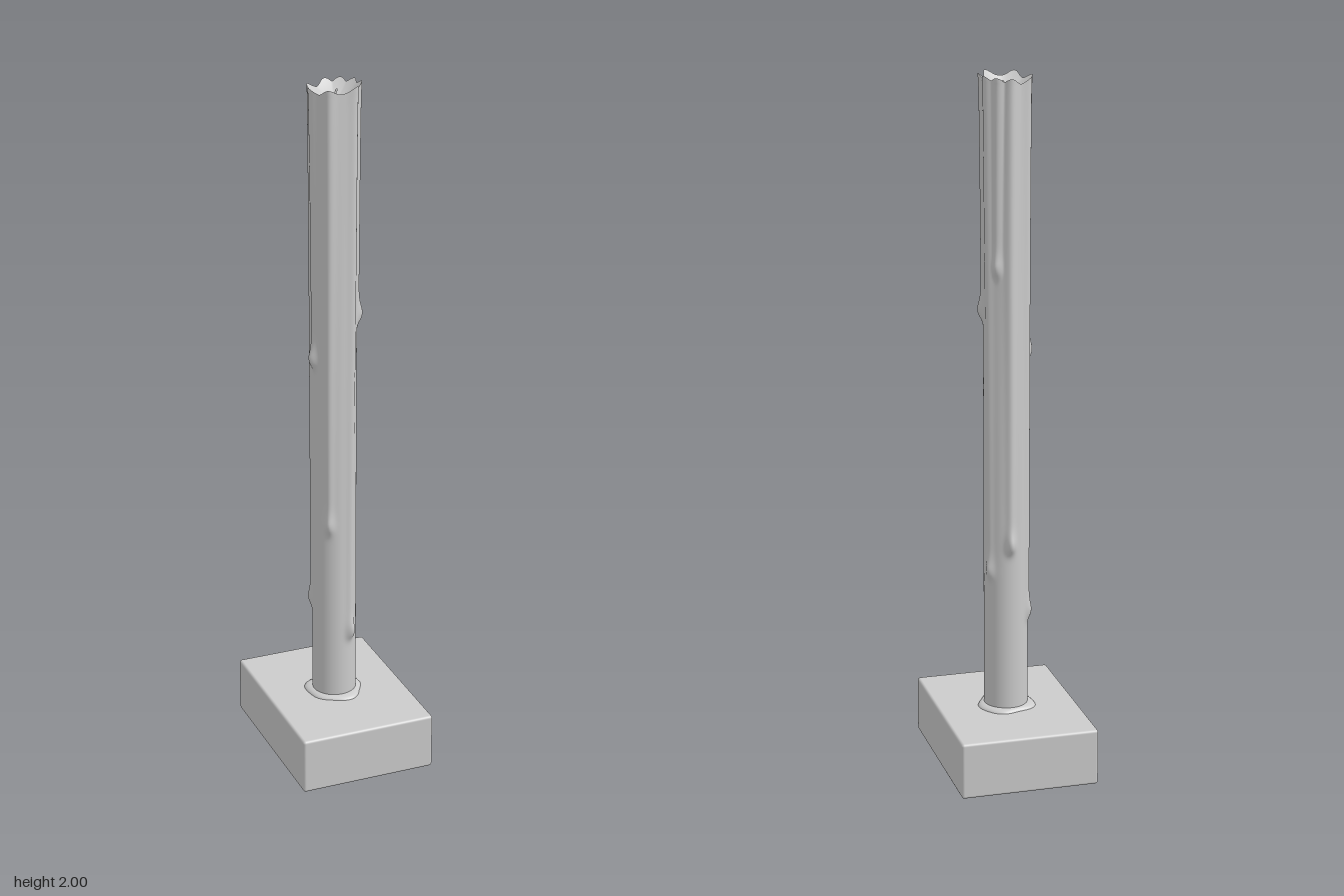
import * as THREE from 'three';
import { RoundedBoxGeometry } from 'three/addons/geometries/RoundedBoxGeometry.js';

const BASE_H = 0.165, TOP = 1.985, RADIUS = 0.063;

// Wax runs: angle at the top, angle at the lower end (0 = front, +x = 90 degrees), end height
const drips = [
  [-34, -34, 0.71, 0.009],
  [33, 24, 0.37, 0.013],
  [80, 74, 1.33, 0.012],
  [112, 120, 0.58, 0.008],
  [146, 142, 1.46, 0.008],
  [178, 178, 0.66, 0.014],
  [232, 238, 0.45, 0.009],
  [272, 276, 1.21, 0.012],
].map(([a0, a1, end, size]) => ({
  a0: THREE.MathUtils.degToRad(a0), a1: THREE.MathUtils.degToRad(a1), end, size,
}));

const gauss = (d, s) => Math.exp(-(d * d) / (2 * s * s));
const angleDiff = (a, b) => Math.atan2(Math.sin(a - b), Math.cos(a - b));

// Distance of the wax surface from the axis
function waxRadius(a, y) {
  let extra = 0;
  for (const d of drips) {
    const t = Math.min(1, Math.max(0, (TOP - y) / (TOP - d.end)));
    const centre = d.a0 + (d.a1 - d.a0) * t + 0.04 * Math.sin(5 * y + d.a0) * t * (1 - t);
    const off = angleDiff(a, centre);
    const body = THREE.MathUtils.smoothstep(y, d.end - 0.015, d.end + 0.02);
    const ridge = (0.013 - 0.007 * Math.sqrt(t)) * body * gauss(off, 0.19 - 0.06 * t);
    const bead = d.size * gauss(y - d.end, y < d.end ? 0.014 : 0.028) * gauss(off, 0.15);
    extra = Math.max(extra, ridge + bead);
  }
  return RADIUS + extra;
}

// Wavy height of the rim, higher above each run
const rimHeight = (a) => {
  let h = 0;
  for (const d of drips) h = Math.max(h, gauss(angleDiff(a, d.a0), 0.2));
  return TOP - 0.006 + 0.016 * h + 0.005 * Math.sin(a + 0.8);
};

// Closed ring surface: point(a, row) gives [radius, y]
function ringSurface(rows, segs, point) {
  const pos = [], index = [];
  for (let j = 0; j <= rows; j++) {
    for (let i = 0; i < segs; i++) {
      const a = (i / segs) * Math.PI * 2;
      const [r, y] = point(a, j / rows);
      pos.push(Math.sin(a) * r, y, Math.cos(a) * r);
      if (j === rows) continue;
      const p = j * segs + i, q = j * segs + ((i + 1) % segs);
      index.push(p, q, q + segs, p, q + segs, p + segs);
    }
  }
  const g = new THREE.BufferGeometry();
  g.setAttribute('position', new THREE.Float32BufferAttribute(pos, 3));
  g.setIndex(index);
  g.computeVertexNormals();
  return g;
}

export function createModel() {
  const group = new THREE.Group();
  const mat = new THREE.MeshStandardMaterial({ color: 0xcccccc });
  const add = (name, geo) => {
    const m = new THREE.Mesh(geo, mat);
    m.name = name;
    group.add(m);
    return m;
  };

  // Block holder
  add('base', new RoundedBoxGeometry(0.4, BASE_H, 0.53, 3, 0.008)).position.y = BASE_H / 2;

  // Candle side with wax runs
  add('candleBody', ringSurface(260, 144, (a, v) => {
    const y = THREE.MathUtils.lerp(BASE_H - 0.005, rimHeight(a), v);
    return [waxRadius(a, y), y];
  }));

  // Rounded lip falling into the melted hollow
  add('meltedTop', ringSurface(24, 144, (a, v) => {
    const rim = rimHeight(a), floor = TOP - 0.04;
    const r = waxRadius(a, rim) * (1 - v);
    const y = floor + (rim - floor) * Math.pow(1 - v, 1.6);
    return [r, y];
  }));

  // Pooled wax round the foot
  add('waxPool', ringSurface(8, 96, (a, v) => {
    const edge = 0.082 + 0.004 * Math.sin(3 * a + 1) + 0.003 * Math.sin(5 * a);
    const t = v * Math.PI / 2;
    return [0.055 + (edge - 0.055) * Math.cos(t), BASE_H - 0.002 + 0.013 * Math.sin(t)];
  }));

  // Short bent wick
  const wick = new THREE.CatmullRomCurve3([
    new THREE.Vector3(0, TOP - 0.05, 0),
    new THREE.Vector3(0.001, TOP - 0.025, -0.001),
    new THREE.Vector3(0.009, TOP - 0.008, -0.004),
  ]);
  add('wick', new THREE.TubeGeometry(wick, 10, 0.003, 8));
  const tip = add('wickTip', new THREE.SphereGeometry(0.003, 8, 6));
  tip.position.copy(wick.getPoint(1));

  return group;
}
